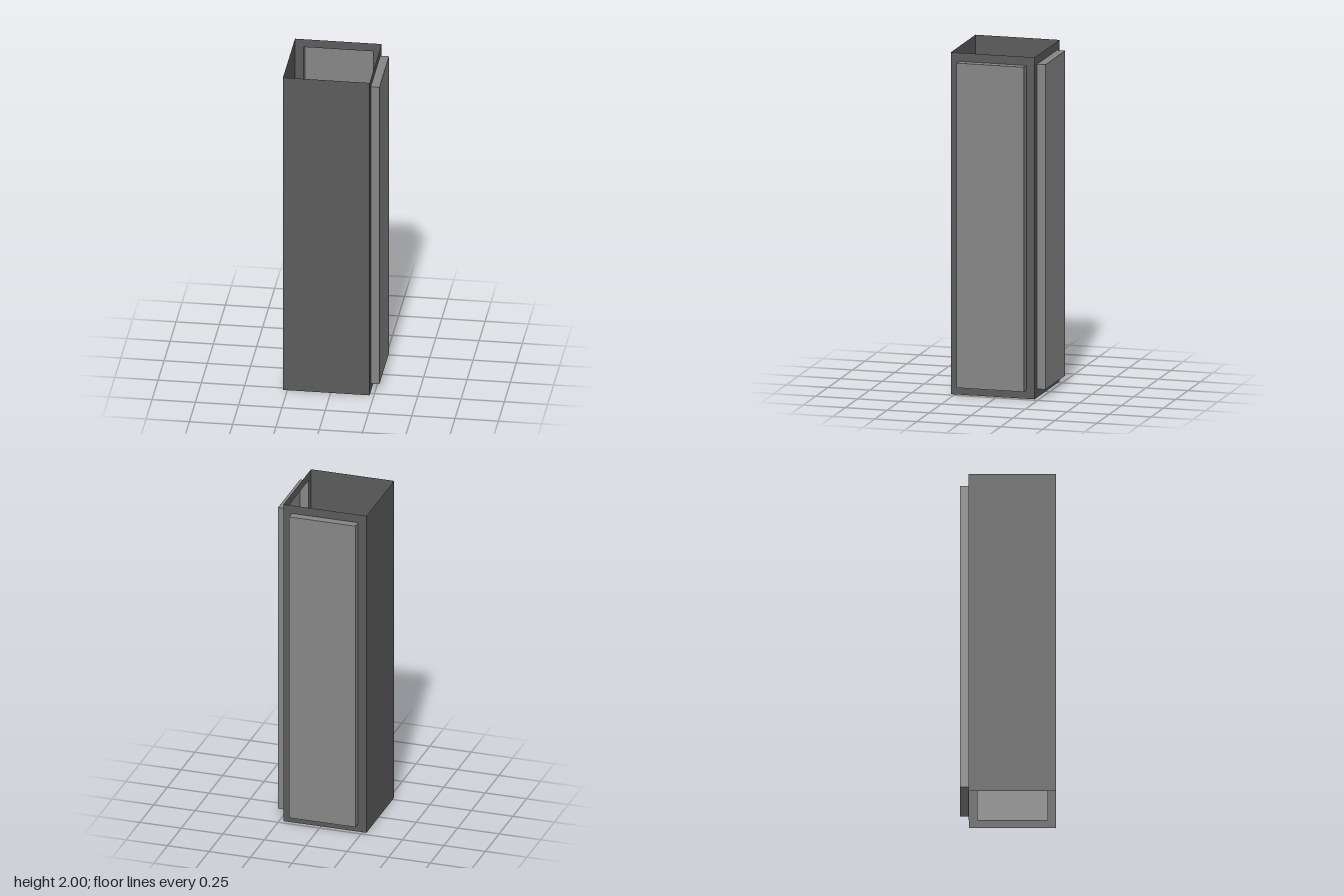
import * as THREE from 'three';

const WIDTH = 0.5, HEIGHT = 2, MARGIN = 0.05, DEPTH = 0.05;

export function createModel() {
  const wallGrey = new THREE.MeshStandardMaterial({ color: 0x5b5b5b, side: THREE.DoubleSide });
  wallGrey.name = 'dark grey wall';
  const panelGrey = new THREE.MeshStandardMaterial({ color: 0x868686, side: THREE.DoubleSide });
  panelGrey.name = 'light grey panel';

  const model = new THREE.Group();
  model.name = 'openColumn';

  function addMesh(parent, name, geometry, material) {
    const mesh = new THREE.Mesh(geometry, material);
    mesh.name = name;
    parent.add(mesh);
    return mesh;
  }

  // Each side of the square tube is turned about the tube's axis
  function addSide(name, angle) {
    const side = new THREE.Group();
    side.name = name;
    side.position.set(-0.025, HEIGHT / 2, 0.025);
    side.rotation.y = angle;
    model.add(side);
    return side;
  }

  function rectangle(Type, w, h) {
    return new Type([[-1, -1], [1, -1], [1, 1], [-1, 1]]
      .map(([x, y]) => new THREE.Vector2(x * w / 2, y * h / 2)));
  }

  // Plain sheets: front and left-hand from the front
  for (const [name, angle] of [['frontWall', 0], ['rightWall', -Math.PI / 2]]) {
    const side = addSide(name, angle);
    addMesh(side, name + 'Sheet', new THREE.PlaneGeometry(WIDTH, HEIGHT), wallGrey)
      .position.z = WIDTH / 2;
  }

  // Framed sides: a sheet with an opening and a panel pushed outward from it
  const panelW = WIDTH - 2 * MARGIN, panelH = HEIGHT - 2 * MARGIN;
  const frame = rectangle(THREE.Shape, WIDTH, HEIGHT);
  frame.holes.push(rectangle(THREE.Path, panelW, panelH));
  const frameGeometry = new THREE.ShapeGeometry(frame);

  // Box without its inner face, so the panel is hollow from inside
  const panelGeometry = new THREE.BoxGeometry(panelW, panelH, DEPTH);
  panelGeometry.setIndex(Array.from(panelGeometry.index.array).slice(0, 30));
  panelGeometry.clearGroups();

  for (const [name, angle] of [['leftWall', Math.PI / 2], ['backWall', Math.PI]]) {
    const side = addSide(name, angle);
    addMesh(side, name + 'Frame', frameGeometry, wallGrey).position.z = WIDTH / 2;
    addMesh(side, name + 'Panel', panelGeometry, panelGrey).position.z = (WIDTH + DEPTH) / 2;
  }

  return model;
}
